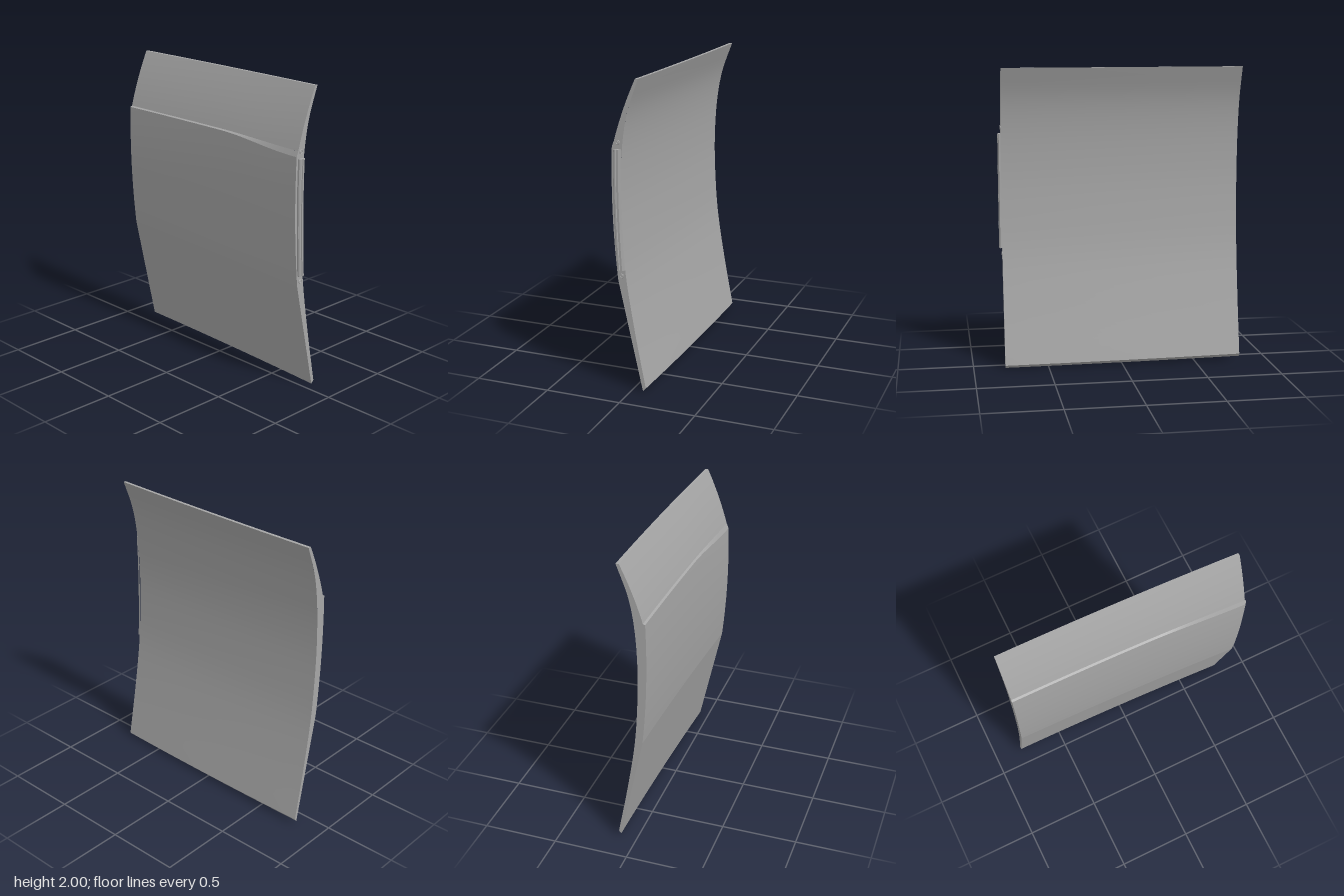
import * as THREE from 'three';

const X0 = -0.81, X1 = 0.79;
const panelGrey = new THREE.MeshStandardMaterial({ color: 0xa6a6a6 });
panelGrey.name = 'panelGrey';

const lerp = THREE.MathUtils.lerp;
const along = (x) => (x - X0) / (X1 - X0);
const sweep = (x) => -0.037 * (1 - along(x) ** 2); // slight bow across the width

// Smooth z(y) through a few [y, z] points
function profile(points) {
  const curve = new THREE.CatmullRomCurve3(points.map(([y, z]) => new THREE.Vector3(0, y, z)));
  const samples = curve.getPoints(120);
  return (y) => {
    let i = 1;
    while (i < samples.length - 1 && samples[i].y < y) i++;
    const a = samples[i - 1], b = samples[i];
    return lerp(a.z, b.z, THREE.MathUtils.clamp((y - a.y) / (b.y - a.y), 0, 1));
  };
}

const backZ = profile([[0.02, -0.09], [0.4, -0.018], [0.75, 0.037], [1, 0.058], [1.3, 0.067], [1.6, 0.05], [1.8, 0.014], [2, -0.057]]);
const railZ = profile([[0.79, 0.068], [1, 0.079], [1.2, 0.085], [1.4, 0.087], [1.56, 0.084]]);

// Heights of the front creases at a given x
function creases(x) {
  const t = along(x), dip = THREE.MathUtils.smoothstep(x, 0.1, 0.75);
  const step = 1.625 - 0.008 * t - 0.042 * dip;
  return [0.022 * (1 - t), lerp(0.775, 0.725, t), step, step + 0.006 + 0.029 * dip, 2 - 0.005 * t];
}

const creaseZ = [-0.07, 0.09, 0.12, 0.106, -0.036];
const bulge = [0, 0.016, 0, 0.009]; // how far each band bows outward

// Front surface: s runs 0..4 over lower, middle, step and upper bands
function front(x, s) {
  const i = Math.min(3, Math.floor(s)), f = s - i, ys = creases(x);
  const z = lerp(creaseZ[i], creaseZ[i + 1], f) + bulge[i] * 4 * f * (1 - f);
  return [x, lerp(ys[i], ys[i + 1], f), z + sweep(x)];
}

function back(x, s) {
  const y = Math.max(front(x, s)[1], creases(x)[0] + 0.02);
  return [x, y, backZ(y) + sweep(x)];
}

const mix = (a, b, f) => a.map((v, i) => lerp(v, b[i], f));

// Grid surface; it faces du x dv unless flipped
function patch(name, fn, nu, nv, flip = false) {
  const pos = [], index = [];
  for (let j = 0; j <= nv; j++) for (let i = 0; i <= nu; i++) pos.push(...fn(i / nu, j / nv));
  for (let j = 0; j < nv; j++) {
    for (let i = 0; i < nu; i++) {
      const a = j * (nu + 1) + i, b = a + 1, c = a + nu + 1, d = c + 1;
      if (flip) index.push(a, d, b, a, c, d);
      else index.push(a, b, d, a, d, c);
    }
  }
  const geo = new THREE.BufferGeometry();
  geo.setAttribute('position', new THREE.Float32BufferAttribute(pos, 3));
  geo.setIndex(index);
  geo.computeVertexNormals();
  const mesh = new THREE.Mesh(geo, panelGrey);
  mesh.name = name;
  return mesh;
}

export function createModel() {
  const model = new THREE.Group();
  model.name = 'curvedPanel';
  const xAt = (u) => lerp(X0, X1, u);

  // Front bands, each smooth with a crisp crease between
  ['lowerFront', 'middleFront', 'frontStep', 'upperFront'].forEach((name, i) => {
    model.add(patch(name, (u, v) => front(xAt(u), i + v * 0.99999), 32, i === 2 ? 1 : 14));
  });

  // Concave back, made evenly in height
  model.add(patch('back', (u, v) => {
    const x = xAt(u), y = lerp(back(x, 0)[1], back(x, 4)[1], v);
    return [x, y, backZ(y) + sweep(x)];
  }, 32, 40, true));

  // Thin closing edges
  for (const [name, x, flip] of [['leftEdge', X1, false], ['rightEdge', X0, true]]) {
    model.add(patch(name, (u, v) => mix(front(x, v * 4), back(x, v * 4), u), 1, 56, flip));
  }
  for (const [name, s, flip] of [['topEdge', 4, false], ['bottomEdge', 0, true]]) {
    model.add(patch(name, (u, v) => mix(front(xAt(u), s), back(xAt(u), s), v), 32, 1, flip));
  }

  // Curved rail on the left edge, with a chamfered section and a shallow groove
  const section = [[0, -0.025], [0.012, -0.025], [0.02, -0.014], [0.02, -0.004], [0.012, -0.002],
    [0.012, 0.003], [0.02, 0.005], [0.02, 0.014], [0.012, 0.022], [0, 0.022]];
  const rail = new THREE.Group();
  rail.name = 'sideRail';
  const railPoint = (k, v) => {
    const y = lerp(0.795, 1.56, v), [out, dz] = section[k];
    return [X1 + out, y, railZ(y) + dz];
  };
  for (let k = 0; k < section.length - 1; k++) {
    rail.add(patch('railFace', (u, v) => railPoint(k + Math.round(u), v), 1, 20, true));
  }
  for (const v of [0, 1]) {
    rail.add(patch('railEnd', (u, w) => {
      const p = railPoint(Math.round(u * 9), v);
      return [lerp(X1, p[0], w), p[1], p[2]];
    }, 9, 1, v === 0));
  }
  model.add(rail);

  // Screws above and below the rail
  for (const [y, z] of [[1.602, 0.081], [0.755, 0.064]]) {
    const screw = new THREE.Group();
    screw.name = 'screw';
    const rim = new THREE.Mesh(new THREE.TorusGeometry(0.012, 0.003, 8, 24), panelGrey);
    rim.name = 'screwRim';
    const head = new THREE.Mesh(new THREE.CylinderGeometry(0.007, 0.009, 0.004, 20), panelGrey);
    head.name = 'screwHead';
    head.rotation.x = Math.PI / 2;
    screw.add(rim, head);
    screw.rotation.y = Math.PI / 2;
    screw.position.set(X1 + 0.001, y, z);
    model.add(screw);
  }
  return model;
}
